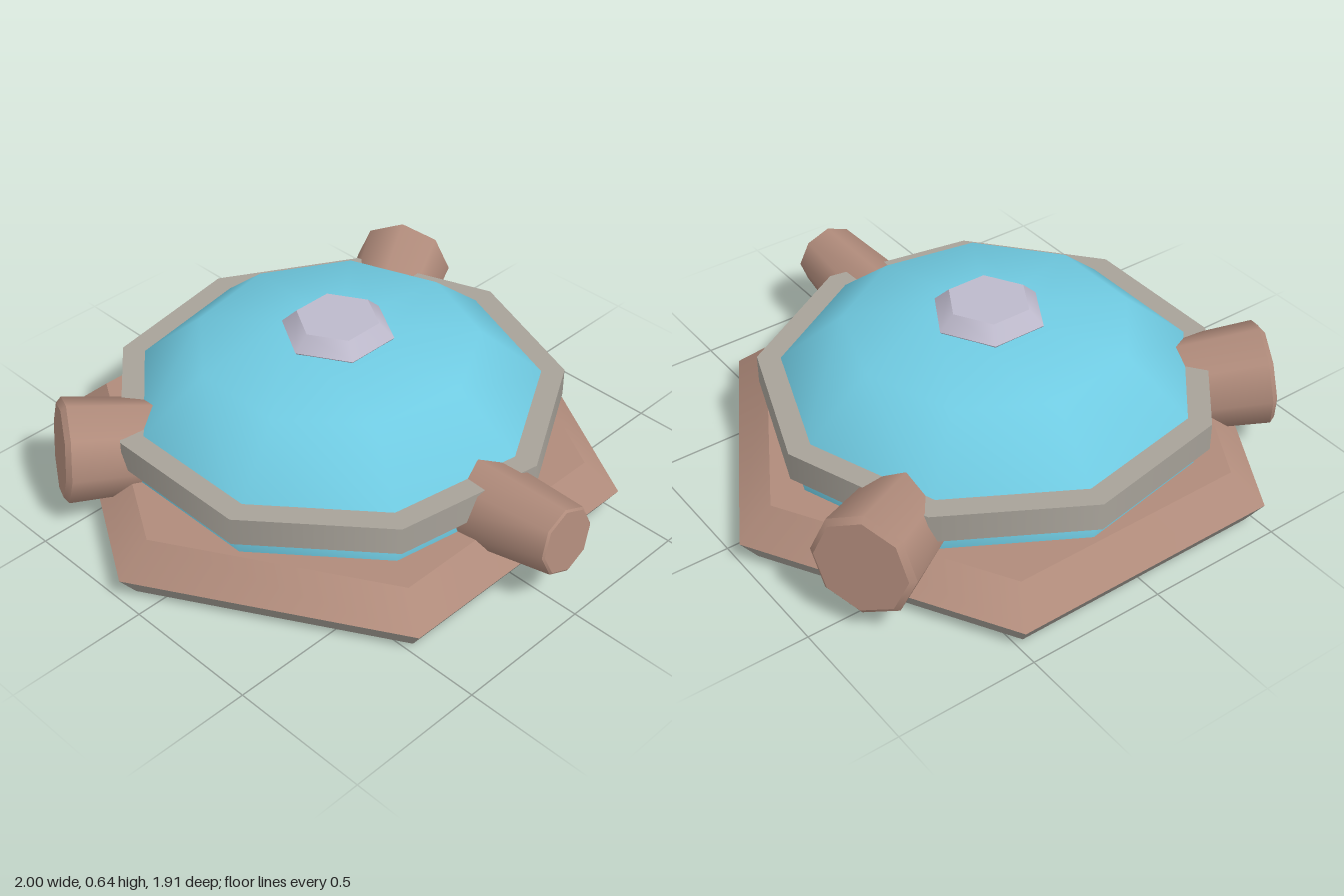
import * as THREE from 'three';
import { mergeGeometries } from 'three/addons/utils/BufferGeometryUtils.js';

const paint = (name, color) => {
  const m = new THREE.MeshStandardMaterial({ color });
  m.name = name;
  return m;
};

// Solid turned from a [radius, height] profile, listed upwards, with a corner on +x
const turned = (profile, sides) =>
  new THREE.LatheGeometry(profile.map(([r, y]) => new THREE.Vector2(r, y)), sides, Math.PI / 2);

// The same, smooth around but with a hard edge between one tier and the next
const tiered = (profile, sides) =>
  mergeGeometries(profile.slice(1).map((p, i) => turned([profile[i], p], sides)));

export function createModel() {
  const brown = paint('clay brown', 0xb08b7b);
  const grey = paint('warm grey', 0xa7a299);
  const cyan = paint('dome blue', 0x70cbe2);
  const lilac = paint('pale lilac', 0xbdb9cb);
  const dark = paint('dark underside', 0x3d4050);

  const model = new THREE.Group();
  const body = new THREE.Group();
  body.name = 'body';
  body.position.z = -0.091;
  model.add(body);

  const add = (name, geometry, material) => {
    const mesh = new THREE.Mesh(geometry, material);
    mesh.name = name;
    body.add(mesh);
  };

  // Hexagonal base in three colours
  add('baseUnderside', tiered([[0, 0], [0.937, 0]], 6), dark);
  add('baseSkirt', tiered([[0.937, 0], [1, 0.085]], 6), grey);
  add('baseTop', tiered([[1, 0.085], [0.875, 0.187], [0, 0.187]], 6), brown);

  // Nine-sided smooth dome and the band round it
  add('dome', turned([[0.745, 0.18], [0.752, 0.33], [0.492, 0.547], [0.19, 0.582], [0, 0.59]], 9), cyan);
  add('ring', tiered([[0.66, 0.26], [0.795, 0.26], [0.795, 0.363], [0.66, 0.363]], 9), grey);

  // Hexagonal cap
  add('cap', tiered([[0, 0.576], [0.19, 0.576], [0.198, 0.587], [0.145, 0.638], [0, 0.638]], 6), lilac);

  // Pipes, tilted up a little; the profile's height runs outwards, ending at 0
  const addPipe = (name, profile, angle, reach, height) => {
    const g = tiered(profile, 8);
    g.rotateX(Math.PI / 2 - 0.115);
    g.translate(0, height, reach);
    g.rotateY(angle);
    add(name, g, brown);
  };
  addPipe('frontPipe', [[0, -0.55], [0.172, -0.55], [0.12, -0.006], [0.112, 0], [0, 0]], 0, 1.034, 0.28);
  for (const side of [1, -1]) {
    addPipe(side > 0 ? 'backLeftPipe' : 'backRightPipe',
      [[0, -0.5], [0.15, -0.5], [0.183, -0.018], [0.163, 0], [0, 0]],
      side * Math.PI * 2 / 3, 0.975, 0.265);
  }
  return model;
}
